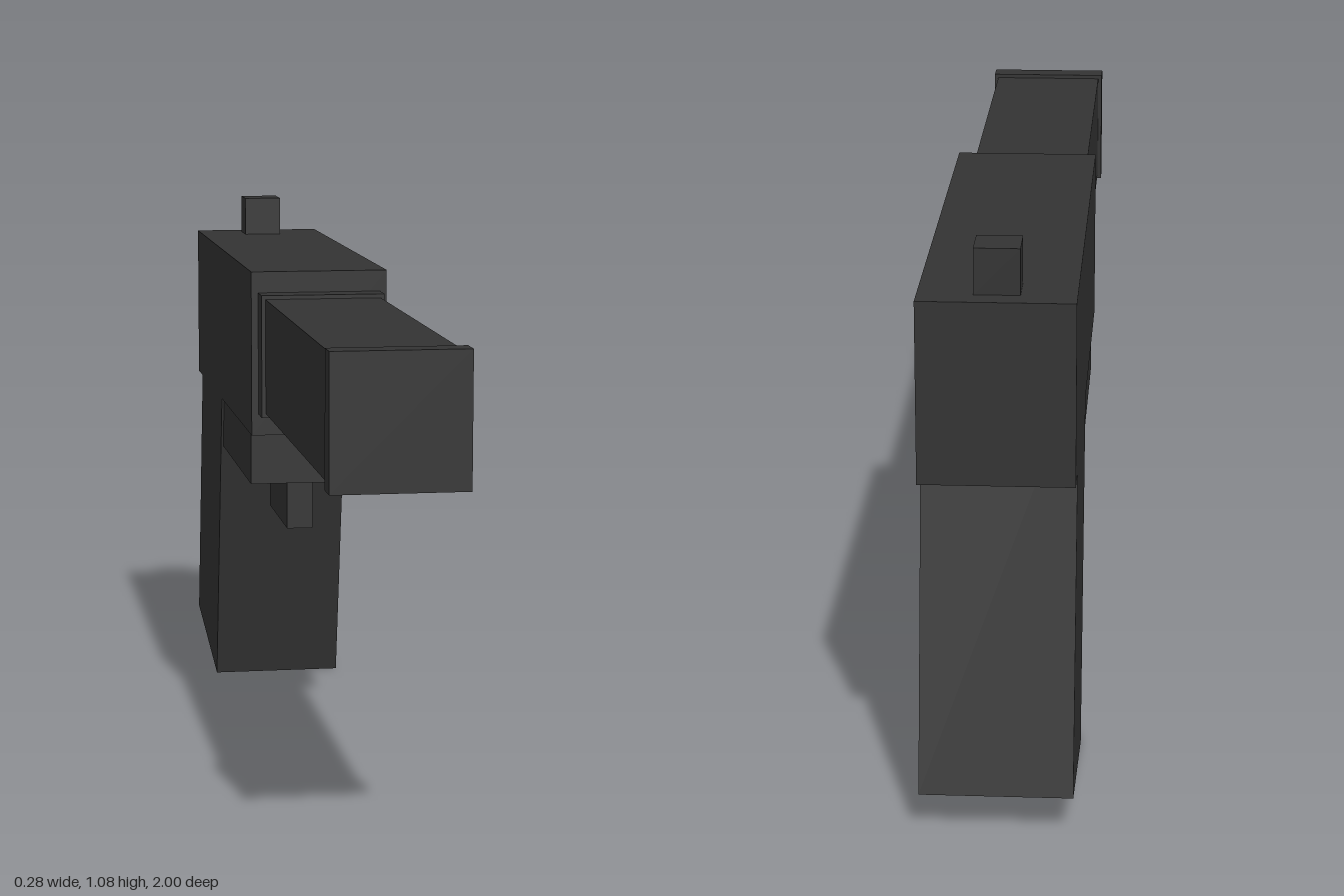
import * as THREE from 'three';

export function createModel() {
  const group = new THREE.Group();
  const charcoal = new THREE.MeshStandardMaterial({ color: 0x333333 });
  charcoal.name = 'charcoal';

  // Box centred on x, given its half width and its y and z ranges
  const addBox = (name, halfWidth, [y0, y1], [z0, z1]) => {
    const geometry = new THREE.BoxGeometry(halfWidth * 2, y1 - y0, z1 - z0);
    const mesh = new THREE.Mesh(geometry, charcoal);
    mesh.name = name;
    mesh.position.set(0, (y0 + y1) / 2, (z0 + z1) / 2);
    group.add(mesh);
    return mesh;
  };

  // Upper body with the sight on top
  addBox('slide', 0.14, [0.663, 1.0], [-0.96, 0.05]);
  addBox('rearSight', 0.041, [1.0, 1.084], [-0.917, -0.837]);

  // Long square barrel with a collar at each end
  addBox('barrel', 0.118, [0.716, 0.949], [0.04, 0.96]);
  addBox('barrelCollar', 0.126, [0.707, 0.957], [0.04, 0.105]);
  addBox('muzzleCap', 0.126, [0.707, 0.957], [0.95, 1.0]);

  // Lower frame and trigger block
  addBox('frame', 0.135, [0.552, 0.67], [-0.7, -0.004]);
  addBox('trigger', 0.028, [0.412, 0.56], [-0.51, -0.23]);

  // Raked grip, its top sunk into the slide
  const grip = addBox('grip', 0.14, [-0.39, 0.39], [-0.195, 0.195]);
  grip.position.set(0, 0.421, -0.73);
  grip.rotation.x = 0.198;

  return group;
}
